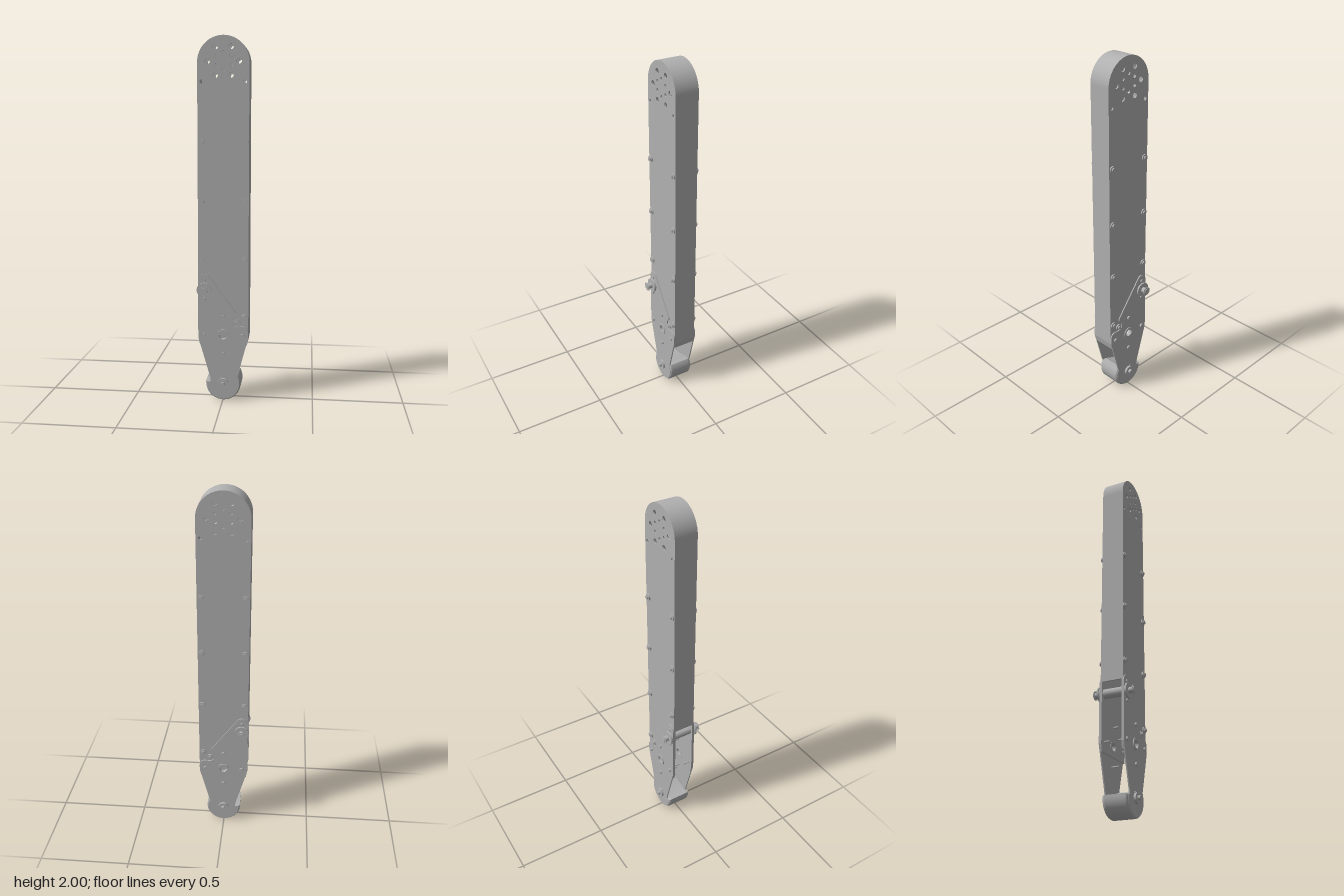
import * as THREE from 'three';

export function createModel() {
  const root = new THREE.Group();
  root.name = 'legLink';
  const grey = new THREE.MeshStandardMaterial({ color: 0xb0b0b0 });
  grey.name = 'plain grey';

  const R = 0.139, TOP = 2 - R, FOOT_R = 0.0975;
  const X0 = 0.002; // slight sideways offset of the link

  const add = (name, geo, x = 0, y = 0, z = 0) => {
    const m = new THREE.Mesh(geo, grey);
    m.name = name;
    m.position.set(x + X0, y, z);
    root.add(m);
    return m;
  };
  const hole = (shape, x, y, r) => {
    const p = new THREE.Path();
    p.absarc(x, y, r, 0, Math.PI * 2, true);
    shape.holes.push(p);
  };
  const extrude = (shape, depth) =>
    new THREE.ExtrudeGeometry(shape, { depth, bevelEnabled: false, curveSegments: 32 });
  // Plate between two distances from the middle, on both sides
  const platePair = (name, shape, zIn, zOut) => {
    const g = extrude(shape, zOut - zIn);
    add(name + 'Front', g, 0, 0, zIn);
    add(name + 'Back', g, 0, 0, -zOut);
  };
  // Disc lying along z between two distances, on both sides
  const discPair = (name, x, y, r, zIn, zOut, sides = 20) => {
    const g = new THREE.CylinderGeometry(r, r, zOut - zIn, sides);
    g.rotateX(Math.PI / 2);
    for (const s of [1, -1]) add(name + (s > 0 ? 'Front' : 'Back'), g, x, y, s * (zIn + zOut) / 2);
  };

  // Long side panels with the rounded top and its hole pattern
  const panel = new THREE.Shape();
  panel.moveTo(-0.131, 0.32);
  panel.lineTo(0.131, 0.32);
  panel.lineTo(R, 0.36);
  panel.lineTo(R, TOP);
  panel.absarc(0, TOP, R, 0, Math.PI, false);
  panel.lineTo(-R, 0.36);
  panel.closePath();
  for (const s of [-1, 1]) {
    hole(panel, s * 0.042, 1.94, 0.014);
    hole(panel, s * 0.085, 1.865, 0.014);
    hole(panel, s * 0.042, 1.792, 0.014);
    hole(panel, s * 0.04, 1.89, 0.009);
    hole(panel, s * 0.04, 1.843, 0.009);
    hole(panel, s * 0.117, 1.76, 0.01);
  }
  hole(panel, 0, 1.912, 0.009);
  hole(panel, 0, 1.82, 0.009);
  hole(panel, 0, 0.375, 0.022);
  platePair('sidePanel', panel, 0.056, 0.064);

  // Wall that wraps over the top; one side stops short to leave an opening
  const t = 0.008, wall = new THREE.Shape();
  wall.moveTo(0.131, 0.32);
  wall.lineTo(R, 0.36);
  wall.lineTo(R, TOP);
  wall.absarc(0, TOP, R, 0, Math.PI, false);
  wall.lineTo(-R, 0.69);
  wall.lineTo(-R + t, 0.69);
  wall.lineTo(-R + t, TOP);
  wall.absarc(0, TOP, R - t, Math.PI, 0, true);
  wall.lineTo(R - t, 0.36);
  wall.lineTo(0.123, 0.32);
  wall.closePath();
  add('wrapWall', extrude(wall, 0.124), 0, 0, -0.062);

  // Outer arm plates: shoulder at the hub, notch for two bolts, taper to the foot
  const arm = new THREE.Shape();
  arm.moveTo(-R, 0.36);
  arm.lineTo(-R, 0.675);
  arm.quadraticCurveTo(-R, 0.715, -0.105, 0.72);
  arm.quadraticCurveTo(-0.088, 0.72, -0.08, 0.708);
  arm.lineTo(0.07, 0.508);
  arm.quadraticCurveTo(0.08, 0.492, 0.066, 0.482);
  arm.quadraticCurveTo(0.05, 0.465, 0.056, 0.44);
  arm.quadraticCurveTo(0.07, 0.42, 0.1, 0.427);
  arm.quadraticCurveTo(R, 0.43, R, 0.39);
  arm.lineTo(R, 0.36);
  arm.lineTo(0.083, 0.15);
  arm.absarc(0, FOOT_R, 0.09, 0.5, -Math.PI - 0.08, true);
  arm.lineTo(-0.07, 0.105);
  arm.lineTo(-0.072, 0.13);
  arm.closePath();
  hole(arm, 0, 0.375, 0.022);
  platePair('armPlate', arm, 0.0635, 0.0705);

  // Rounded foot with a step on one side
  const b = 0.012, foot = new THREE.Shape();
  foot.moveTo(-0.068, 0.108);
  foot.lineTo(-FOOT_R, 0.108);
  foot.absarc(0, FOOT_R, FOOT_R, Math.PI, Math.PI * 2 + 0.54, false);
  foot.lineTo(0.06, 0.15);
  foot.quadraticCurveTo(0, 0.12, -0.068, 0.108);
  add('foot', new THREE.ExtrudeGeometry(foot, {
    depth: 0.138 - 2 * b, bevelEnabled: true, bevelThickness: b, bevelSize: b,
    bevelOffset: -b, bevelSegments: 4, curveSegments: 32,
  }), 0, 0, -0.069 + b);

  // Foot axle: washer and stud
  discPair('footWasher', 0, 0.1, 0.029, 0.069, 0.083, 28);
  discPair('footStud', 0, 0.1, 0.012, 0.083, 0.098);
  discPair('footPin', -0.012, 0.125, 0.007, 0.069, 0.076, 12);

  // Panel bolts with a flat head and a raised centre
  const bolt = (x, y) => {
    discPair('boltHead', x, y, 0.018, 0.064, 0.071);
    discPair('boltTip', x, y, 0.011, 0.071, 0.079, 6);
  };
  for (const y of [0.8, 1.12, 1.44]) for (const x of [-0.117, 0.117]) bolt(x, y);
  bolt(0.117, 0.482);
  bolt(0.077, 0.45);

  // Four screws around the pivot, passing inside the arm
  for (const [x, y] of [[0, 0.48], [0, 0.27], [-0.106, 0.375], [0.106, 0.375]]) {
    discPair('pivotScrew', x, y, 0.011, 0.0705, 0.08);
    discPair('screwShank', x, y, 0.005, 0.025, 0.0705, 10);
  }

  // Open pivot bushing
  const ring = new THREE.Shape();
  ring.absarc(0, 0, 0.034, 0, Math.PI * 2, false);
  hole(ring, 0, 0, 0.021);
  const ringGeo = extrude(ring, 0.022);
  add('pivotRingFront', ringGeo, 0, 0.375, 0.054);
  add('pivotRingBack', ringGeo, 0, 0.375, -0.076);

  // Side hub: flange, neck, thin rim and tip, with a shaft across the link
  const hx = -0.104, hy = 0.632;
  discPair('hubBase', hx, hy, 0.034, 0.0705, 0.077, 32);
  discPair('hubFlange', hx, hy, 0.041, 0.076, 0.085, 32);
  discPair('hubNeck', hx, hy, 0.016, 0.085, 0.11);
  discPair('hubRim', hx, hy, 0.025, 0.109, 0.113, 28);
  discPair('hubTip', hx, hy, 0.017, 0.113, 0.117);
  for (const y of [hy - 0.053, hy + 0.053]) discPair('hubScrew', hx, y, 0.009, 0.0705, 0.078, 14);
  const shaft = new THREE.CylinderGeometry(0.026, 0.026, 0.114, 24);
  shaft.rotateX(Math.PI / 2);
  add('hubShaft', shaft, hx, hy, 0);

  return root;
}
